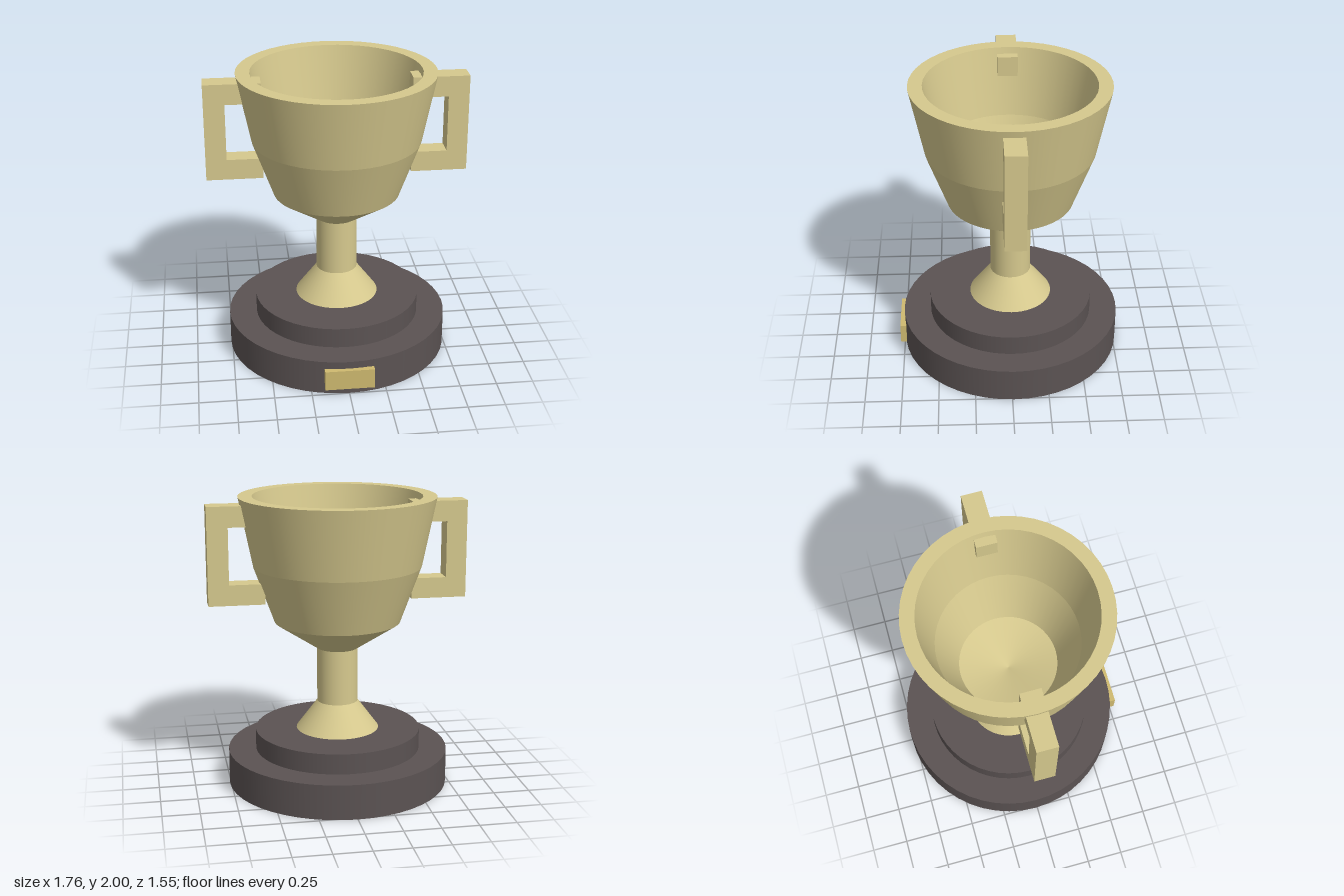
import * as THREE from 'three';
import { mergeGeometries } from 'three/addons/utils/BufferGeometryUtils.js';

const gold = new THREE.MeshStandardMaterial({ color: 0xd6c98e });
const dark = new THREE.MeshStandardMaterial({ color: 0x5b5353 });
const brass = new THREE.MeshStandardMaterial({ color: 0xcfba70 });
const AXIS_Z = -0.013;

// Turned part: each profile band is its own lathe, so the rings stay crisp.
function turned(name, profile, material) {
  const points = profile.map(([r, y]) => new THREE.Vector2(r, y));
  const bands = [];
  for (let i = 0; i < points.length - 1; i++) {
    bands.push(new THREE.LatheGeometry([points[i], points[i + 1]], 48));
  }
  const mesh = new THREE.Mesh(mergeGeometries(bands), material);
  mesh.name = name;
  mesh.position.z = AXIS_Z;
  return mesh;
}

// Square bracket whose two arms run through the cup wall.
function handle(name, side) {
  const outline = [
    [0.5, 1.29], [0.88, 1.29], [0.88, 1.955], [0.5, 1.955],
    [0.5, 1.815], [0.74, 1.815], [0.74, 1.43], [0.5, 1.43],
  ].map(([x, y]) => new THREE.Vector2(side * x, y));
  const geometry = new THREE.ExtrudeGeometry(new THREE.Shape(outline), { depth: 0.14, bevelEnabled: false });
  geometry.translate(0, 0, -0.07);
  const mesh = new THREE.Mesh(geometry, gold);
  mesh.name = name;
  mesh.position.z = AXIS_Z;
  return mesh;
}

export function createModel() {
  const model = new THREE.Group();
  model.name = 'trophyCup';

  // Stepped base
  model.add(turned('lowerBase', [[0, 0], [0.76, 0], [0.76, 0.24], [0, 0.24]], dark));
  model.add(turned('upperBase', [[0.57, 0.24], [0.57, 0.38], [0, 0.38]], dark));

  // Flared foot and stem
  model.add(turned('foot', [[0.285, 0.38], [0.14, 0.575]], gold));
  model.add(turned('stem', [[0.14, 0.575], [0.14, 0.955]], gold));

  // Hollow cup: outer wall, flat rim, inner wall, shallow conical floor
  model.add(turned('cup', [
    [0.14, 0.955], [0.43, 1.145], [0.57, 1.53], [0.665, 2],
    [0.57, 2], [0.475, 1.53], [0.333, 1.145], [0, 1.05],
  ], gold));

  // Handles
  model.add(handle('leftHandle', 1), handle('rightHandle', -1));

  // Name plate on the front of the base
  const plate = new THREE.Mesh(new THREE.BoxGeometry(0.33, 0.14, 0.04), brass);
  plate.name = 'plate';
  plate.position.set(0, 0.12, 0.755);
  model.add(plate);

  return model;
}
